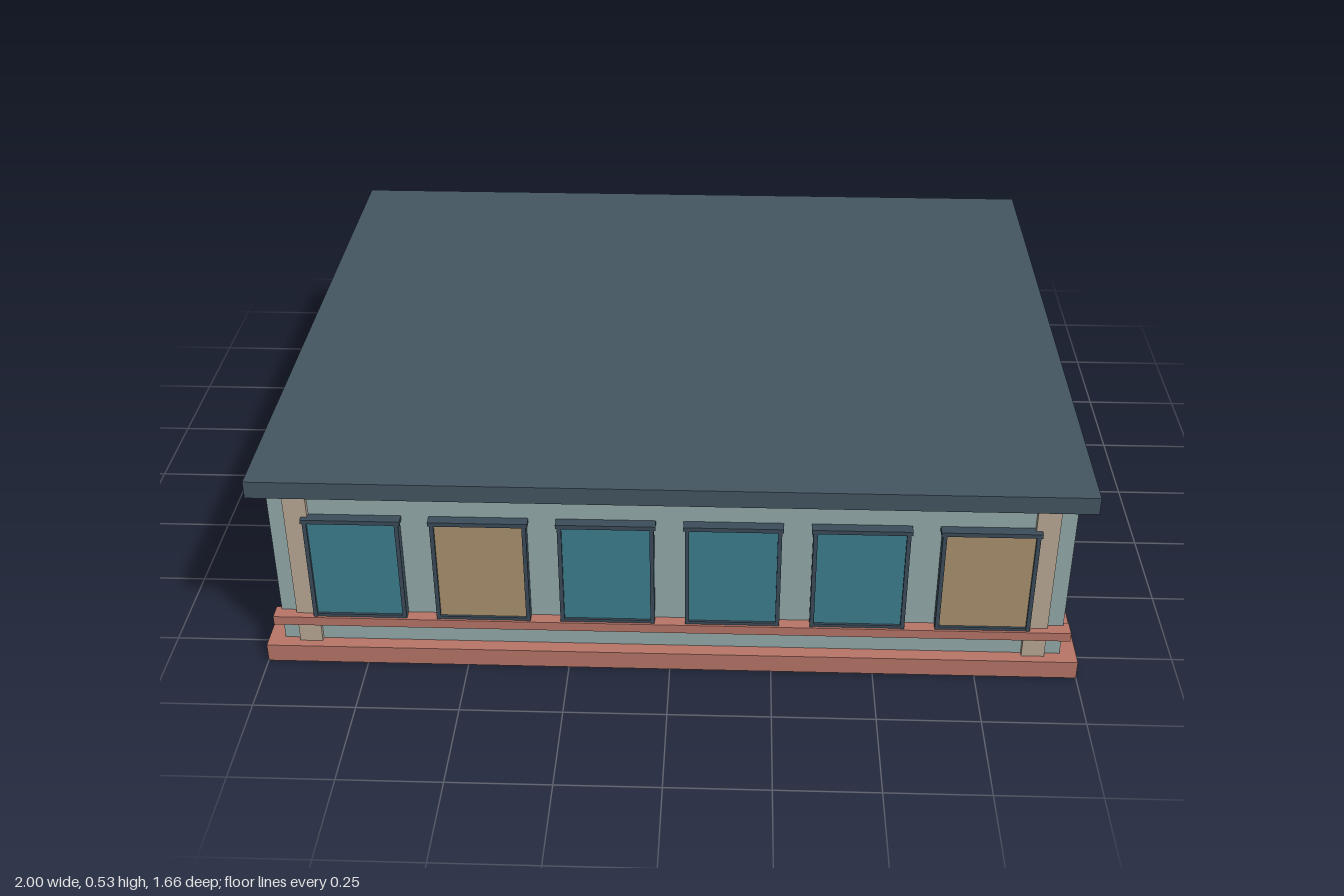
import * as THREE from 'three';

const paint = (color) => new THREE.MeshStandardMaterial({ color });

export function createModel() {
  const model = new THREE.Group();
  model.name = 'building';
  const mats = {
    wall: paint(0x93a8aa), trim: paint(0xb57466), roof: paint(0x435561),
    glass: paint(0x3c7d8d), lit: paint(0xa8906c), pillar: paint(0xb7a793), frame: paint(0x3a4b58),
  };

  // Box given by its extents along each axis
  function box(parent, name, mat, [x0, x1], [y0, y1], [z0, z1]) {
    const mesh = new THREE.Mesh(new THREE.BoxGeometry(x1 - x0, y1 - y0, z1 - z0), mats[mat]);
    mesh.position.set((x0 + x1) / 2, (y0 + y1) / 2, (z0 + z1) / 2);
    mesh.name = name;
    parent.add(mesh);
  }

  // Slabs and main storey
  box(model, 'baseSlab', 'trim', [-1, 1], [0, 0.048], [-0.83, 0.83]);
  box(model, 'walls', 'wall', [-0.96, 0.96], [0.048, 0.487], [-0.795, 0.795]);
  box(model, 'roofSlab', 'roof', [-1, 1], [0.487, 0.532], [-0.83, 0.83]);

  // Each facade is built facing +z, then turned into place
  function facade(name, angle) {
    const group = new THREE.Group();
    group.name = name;
    group.rotation.y = angle;
    model.add(group);
    return group;
  }

  // Long facades: corner pillars, a continuous ledge and six windows
  function longFacade(name, angle, litWindows, framed) {
    const g = facade(name, angle);
    for (const s of [-1, 1]) {
      box(g, 'pillar', 'pillar', [s * 0.892 - 0.028, s * 0.892 + 0.028], [0.048, 0.487], [0.785, 0.808]);
    }
    box(g, 'ledge', 'trim', [-0.975, 0.975], [0.11, 0.134], [0.785, 0.826]);
    for (let i = 0; i < 6; i++) {
      const x = (i - 2.5) * 0.304, w = 0.11;
      const mat = litWindows.includes(i) ? 'lit' : 'glass';
      box(g, 'window', mat, [x - w, x + w], [framed ? 0.134 : 0.145, 0.41], [0.785, 0.814]);
      if (!framed) continue;
      for (const s of [-1, 1]) {
        box(g, 'jamb', 'frame', [x + s * w - 0.005, x + s * w + 0.005], [0.134, 0.412], [0.785, 0.821]);
      }
      box(g, 'lintel', 'frame', [x - w - 0.009, x + w + 0.009], [0.41, 0.421], [0.785, 0.822]);
      box(g, 'windowFoot', 'frame', [x - w, x + w], [0.134, 0.142], [0.785, 0.82]);
    }
  }
  longFacade('frontFacade', 0, [1, 5], true);
  longFacade('backFacade', Math.PI, [2], false);

  // Short facades: five windows with separate sills
  function sideFacade(name, angle, litWindow) {
    const g = facade(name, angle);
    for (let i = 0; i < 5; i++) {
      const x = (i - 2) * 0.288, w = 0.097;
      box(g, 'window', i === litWindow ? 'lit' : 'glass', [x - w, x + w], [0.15, 0.405], [0.95, 0.977]);
      box(g, 'sill', 'frame', [x - w - 0.008, x + w + 0.008], [0.142, 0.152], [0.95, 0.985]);
    }
  }
  sideFacade('leftFacade', Math.PI / 2, 4);
  sideFacade('rightFacade', -Math.PI / 2, 3);

  return model;
}
